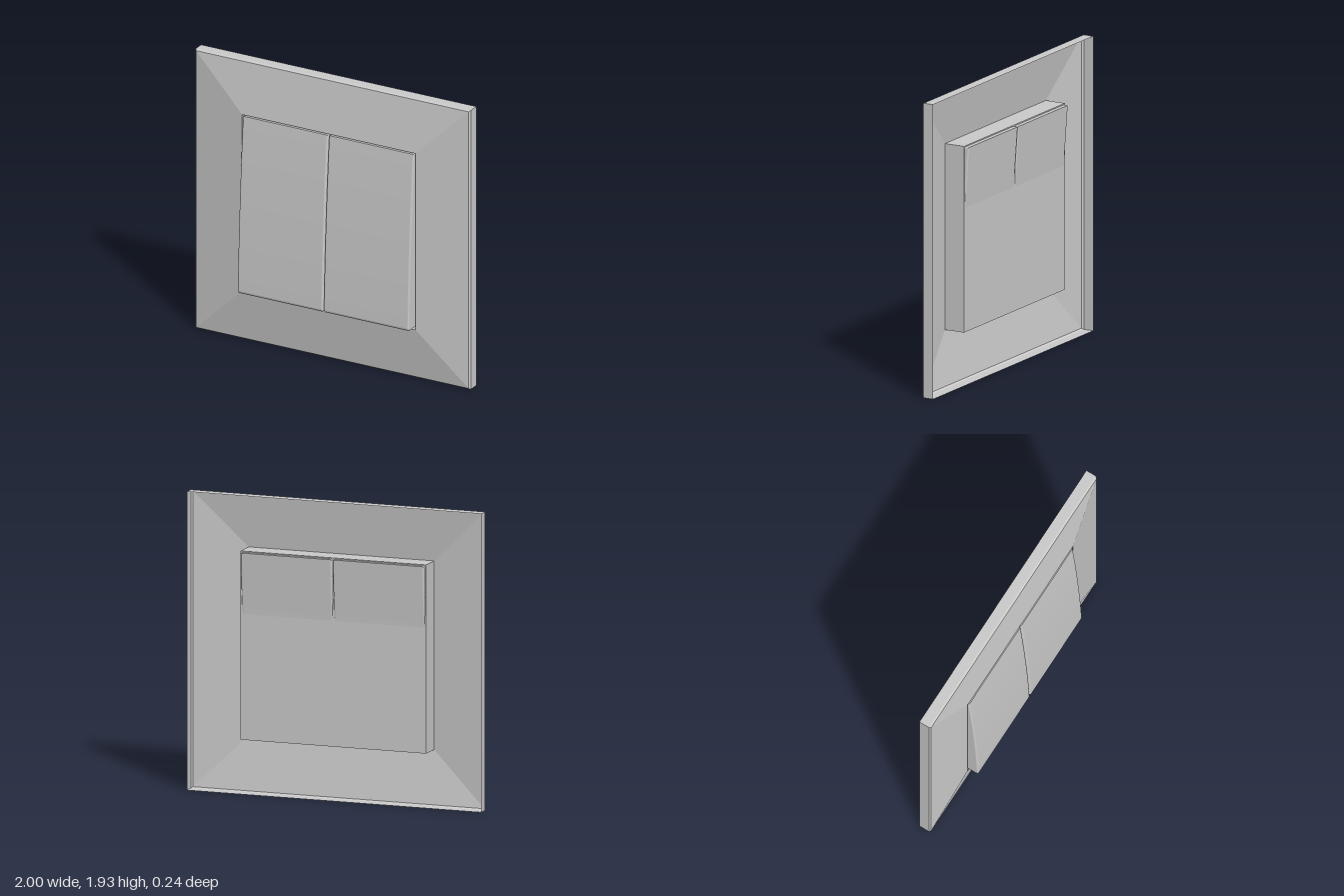
import * as THREE from 'three';

const CY = 0.965; // height of the centre

const grey = (side = THREE.FrontSide, flatShading = false) =>
  new THREE.MeshStandardMaterial({ color: 0xcccccc, side, flatShading });

// Thin mitred shell through a series of rectangles [halfWidth, halfHeight, z]
function rectShell(rings) {
  const pos = [];
  const corners = ([w, h, z]) => [[-w, -h, z], [w, -h, z], [w, h, z], [-w, h, z]];
  for (let r = 0; r < rings.length - 1; r++) {
    const a = corners(rings[r]), b = corners(rings[r + 1]);
    for (let i = 0; i < 4; i++) {
      const j = (i + 1) % 4;
      pos.push(...a[i], ...a[j], ...b[j], ...a[i], ...b[j], ...b[i]);
    }
  }
  const g = new THREE.BufferGeometry();
  g.setAttribute('position', new THREE.Float32BufferAttribute(pos, 3));
  g.computeVertexNormals();
  return g;
}

// Tilted key: side profile swept across its width with a small rounded edge
function rockerGeometry(width) {
  const b = 0.01;
  const s = new THREE.Shape(); // drawn as (-z, y)
  s.moveTo(0.108, 1.558);
  s.lineTo(-0.046, 1.558);
  s.quadraticCurveTo(-0.097, 0.97, -0.114, 0.39);
  s.quadraticCurveTo(-0.114, 0.378, -0.105, 0.377);
  s.lineTo(0.03, 0.375);
  s.lineTo(0.082, 1.2);
  s.closePath();
  const g = new THREE.ExtrudeGeometry(s, {
    depth: width - 2 * b, bevelEnabled: true, bevelSize: b,
    bevelThickness: b, bevelSegments: 3, curveSegments: 16,
  });
  g.translate(0, 0, b - width / 2);
  g.rotateY(Math.PI / 2);
  return g;
}

export function createModel() {
  const model = new THREE.Group();

  // Frame: rim, chamfer, sloped face and the sleeve around the opening
  const frame = new THREE.Mesh(rectShell([
    [1, 0.965, -0.08],
    [1, 0.965, -0.01],
    [0.99, 0.957, 0.002],
    [0.63, 0.61, 0.05],
    [0.63, 0.61, -0.09],
  ]), grey(THREE.DoubleSide, true));
  frame.name = 'frame';
  frame.position.y = CY;
  model.add(frame);

  // Back plate closing the sleeve
  const plate = new THREE.Mesh(new THREE.PlaneGeometry(1.26, 1.22), grey());
  plate.name = 'backPlate';
  plate.rotation.y = Math.PI;
  plate.position.set(0, CY, -0.09);
  model.add(plate);

  // Pair of keys
  const geometry = rockerGeometry(0.618);
  for (const [side, name] of [[1, 'leftRocker'], [-1, 'rightRocker']]) {
    const rocker = new THREE.Mesh(geometry, grey());
    rocker.name = name;
    rocker.position.x = side * 0.313;
    model.add(rocker);
  }
  return model;
}
